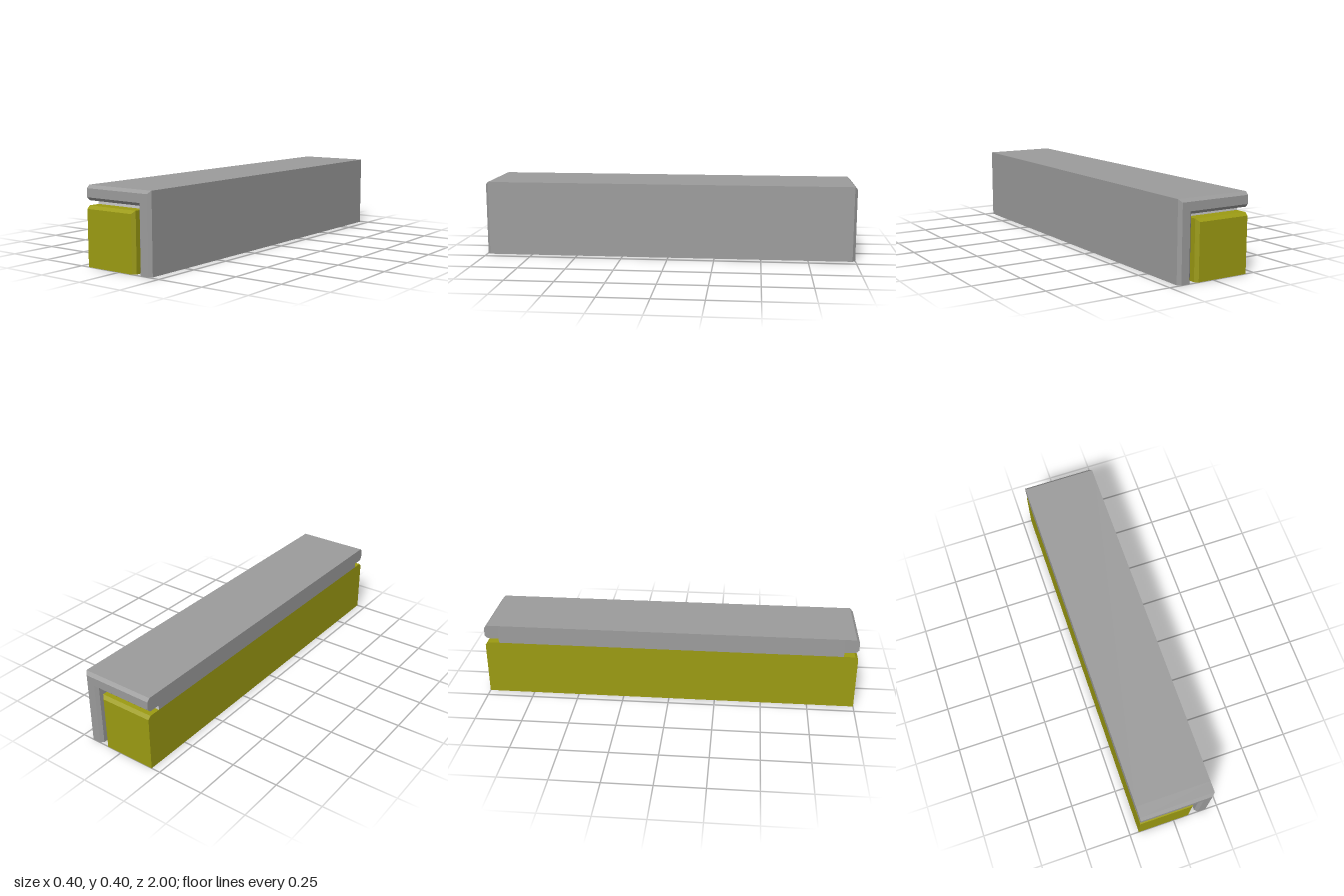
import * as THREE from 'three';

const BEVEL = 0.0155; // chamfer at both ends
const STEP = 0.925;   // z where the end recess stops
const GAP = 0.025;    // width of the end recess

// L-shaped cover section: outer edges pulled in by o, inner edges pushed out by d
const coverSection = (o, d) => [
  [-0.2, 0.3 + d], [0.1 + d, 0.3 + d], [0.1 + d, 0],
  [0.2 - o, 0], [0.2 - o, 0.4 - o], [-0.2, 0.4 - o],
];

// Rectangular core section, top and +x edges pulled in by o
const coreSection = (o) => [
  [-0.2, 0], [0.1 - o, 0], [0.1 - o, 0.3 - o], [-0.2, 0.3 - o],
];

// Joins counter-clockwise sections along z and caps both ends
function loft(rings) {
  const pos = [];
  const put = (r, i) => pos.push(...r.pts[i], r.z);
  for (let k = 0; k < rings.length - 1; k++) {
    const a = rings[k], b = rings[k + 1], n = a.pts.length;
    if (a.z === b.z) continue; // the step faces are a separate part
    for (let i = 0; i < n; i++) {
      const j = (i + 1) % n;
      put(a, i); put(a, j); put(b, j);
      put(a, i); put(b, j); put(b, i);
    }
  }
  const first = rings[0], last = rings[rings.length - 1];
  const outline = last.pts.map(([x, y]) => new THREE.Vector2(x, y));
  for (const [i, j, k] of THREE.ShapeUtils.triangulateShape(outline, [])) {
    put(last, i); put(last, j); put(last, k);
    put(first, i); put(first, k); put(first, j);
  }
  const geo = new THREE.BufferGeometry();
  geo.setAttribute('position', new THREE.Float32BufferAttribute(pos, 3));
  geo.computeVertexNormals();
  return geo;
}

export function createModel() {
  const model = new THREE.Group();
  const add = (name, geo, color, side = THREE.FrontSide) => {
    const mesh = new THREE.Mesh(geo, new THREE.MeshStandardMaterial({ color, side }));
    mesh.name = name;
    model.add(mesh);
    return mesh;
  };

  // Angle cover, chamfered and recessed along its inner edge at both ends
  const half = [
    { z: STEP, pts: coverSection(0, 0) },
    { z: STEP, pts: coverSection(0, GAP) },
    { z: 1 - BEVEL, pts: coverSection(0, GAP) },
    { z: 1, pts: coverSection(BEVEL, GAP + BEVEL) },
  ];
  const mirrored = half.map((r) => ({ z: -r.z, pts: r.pts })).reverse();
  add('cover', loft([...mirrored, ...half]), 0x9c9c9c);

  // Yellow core with chamfered ends
  add('core', loft([
    { z: -1, pts: coreSection(BEVEL) },
    { z: BEVEL - 1, pts: coreSection(0) },
    { z: 1 - BEVEL, pts: coreSection(0) },
    { z: 1, pts: coreSection(BEVEL) },
  ]), 0x9c9b12);

  // Light strips closing the recess between core and cover
  const strip = new THREE.Shape([
    [-0.2, 0.3], [0.1, 0.3], [0.1, 0], [0.1 + GAP, 0],
    [0.1 + GAP, 0.3 + GAP], [-0.2, 0.3 + GAP],
  ].map(([x, y]) => new THREE.Vector2(x, y)));
  for (const [name, z] of [['frontRecess', STEP], ['backRecess', -STEP]]) {
    add(name, new THREE.ShapeGeometry(strip), 0xcccccc, THREE.DoubleSide).position.z = z;
  }
  return model;
}
